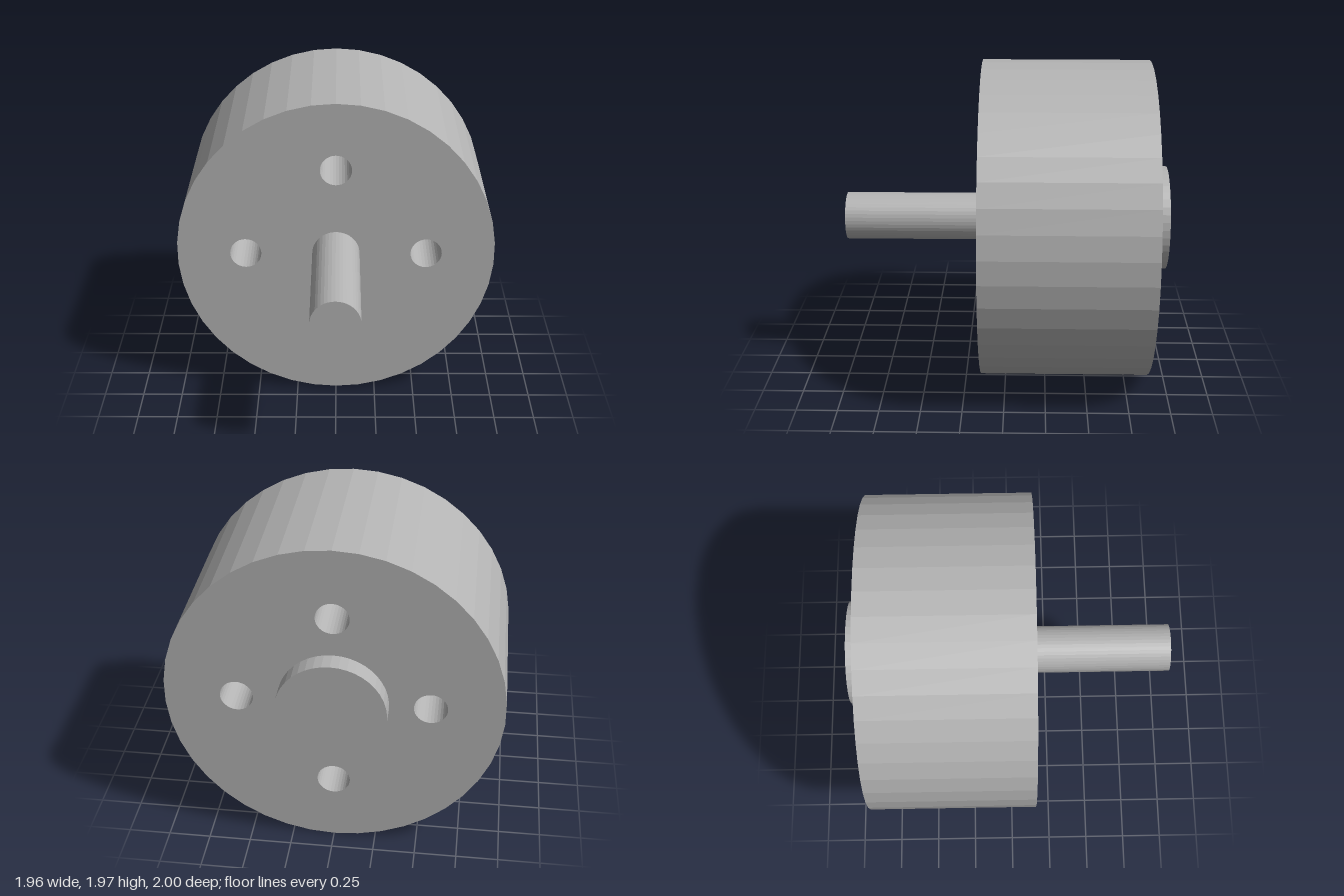
import * as THREE from 'three';

const R = 0.985; // drum radius, also the height of its axis

// Regular polygon with a corner at the top
function ring(Target, cx, cy, radius, sides) {
  const points = [];
  for (let i = 0; i < sides; i++) {
    const a = Math.PI / 2 + (i / sides) * Math.PI * 2;
    points.push(new THREE.Vector2(cx + radius * Math.cos(a), cy + radius * Math.sin(a)));
  }
  return new Target(points);
}

export function createModel() {
  const group = new THREE.Group();
  const grey = new THREE.MeshStandardMaterial({ color: 0xb4b4b4, flatShading: true });
  grey.name = 'plain grey';

  // Extrudes a shape along z between two depths, on the drum axis
  function addPart(name, shape, back, front) {
    const geometry = new THREE.ExtrudeGeometry(shape, { depth: front - back, bevelEnabled: false });
    const mesh = new THREE.Mesh(geometry, grey);
    mesh.name = name;
    mesh.position.set(0, R, back);
    group.add(mesh);
  }

  // Drum with four through holes
  const drum = ring(THREE.Shape, 0, 0, R, 42);
  for (let i = 0; i < 4; i++) {
    const a = (i * Math.PI) / 2;
    drum.holes.push(ring(THREE.Path, 0.56 * Math.cos(a), 0.56 * Math.sin(a), 0.097, 32));
  }
  addPart('drum', drum, -0.88, 0.147);

  // Shaft at the front, boss at the back
  addPart('shaft', ring(THREE.Shape, 0, 0, 0.147, 42), 0.147, 1);
  addPart('rearBoss', ring(THREE.Shape, 0, 0, 0.322, 42), -1, -0.88);

  return group;
}
